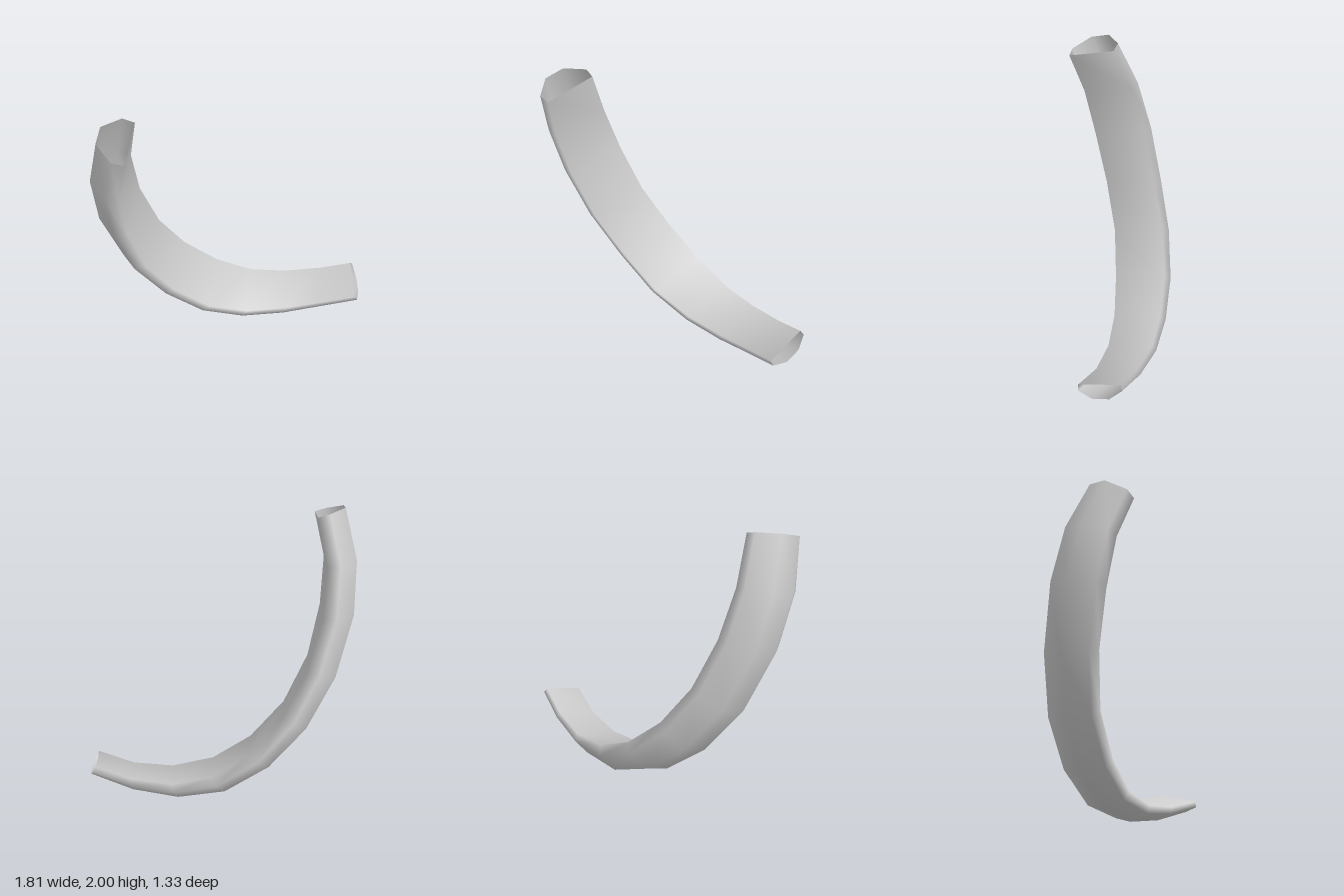
import * as THREE from 'three';

// Stations along the sweep: front corner and back corner of the flat inner
// face, then x, y of the outermost ridge.
const stations = [
  [[-0.57, 1.87, 0.64], [-0.61, 1.975, 0.285], [-0.78, 1.98]],
  [[-0.66, 1.56, 0.57], [-0.70, 1.66, 0.17], [-0.89, 1.64]],
  [[-0.66, 1.21, 0.47], [-0.70, 1.32, 0.05], [-0.905, 1.27]],
  [[-0.60, 0.84, 0.33], [-0.62, 0.96, -0.09], [-0.82, 0.84]],
  [[-0.45, 0.51, 0.16], [-0.48, 0.66, -0.25], [-0.64, 0.45]],
  [[-0.22, 0.26, 0.01], [-0.26, 0.41, -0.40], [-0.38, 0.18]],
  [[0.05, 0.13, -0.14], [0.0, 0.26, -0.51], [-0.07, 0.02]],
  [[0.34, 0.11, -0.26], [0.27, 0.225, -0.59], [0.27, 0.005]],
  [[0.62, 0.16, -0.33], [0.56, 0.27, -0.63], [0.59, 0.08]],
  [[0.88, 0.25, -0.345], [0.81, 0.355, -0.64], [0.90, 0.20]],
];

// D-shaped section: [position across the flat face, depth]
const section = [[1, 0], [1.04, 0.42], [0.4, 1], [-0.4, 1], [-1.04, 0.42], [-1, 0]];

function sectionPoints([front, back, ridge]) {
  const a = new THREE.Vector3(...front);
  const b = new THREE.Vector3(...back);
  const mid = a.clone().add(b).multiplyScalar(0.5);
  const half = a.clone().sub(mid);
  // depth direction, kept square to the flat face
  const dx = ridge[0] - mid.x + 0.4 * Math.abs(half.x);
  const dy = ridge[1] - mid.y + (ridge[1] < 0.6 ? 0.4 * Math.abs(half.y) : 0);
  const depth = new THREE.Vector3(
    ridge[0] < -0.5 ? ridge[0] - mid.x : dx - 0.8 * half.x, dy, 0);
  depth.z = -(depth.x * half.x + depth.y * half.y) / half.z;
  return section.map(([s, t]) =>
    mid.clone().addScaledVector(half, s).addScaledVector(depth, t));
}

export function createModel() {
  const group = new THREE.Group();
  const n = section.length;
  const positions = [];
  const index = [];

  stations.forEach((station, i) => {
    for (const p of sectionPoints(station)) positions.push(p.x, p.y, p.z);
    if (i === stations.length - 1) return;
    for (let j = 0; j < n; j++) {
      const a = i * n + j;
      const b = i * n + (j + 1) % n;
      index.push(a, b, a + n, b, b + n, a + n);
    }
  });

  const geometry = new THREE.BufferGeometry();
  geometry.setAttribute('position', new THREE.Float32BufferAttribute(positions, 3));
  geometry.setIndex(index);
  geometry.computeVertexNormals();

  // Open-ended curved tube
  const tube = new THREE.Mesh(geometry, new THREE.MeshStandardMaterial({
    color: 0xcccccc, side: THREE.DoubleSide,
  }));
  tube.name = 'curvedTube';
  group.add(tube);
  return group;
}
